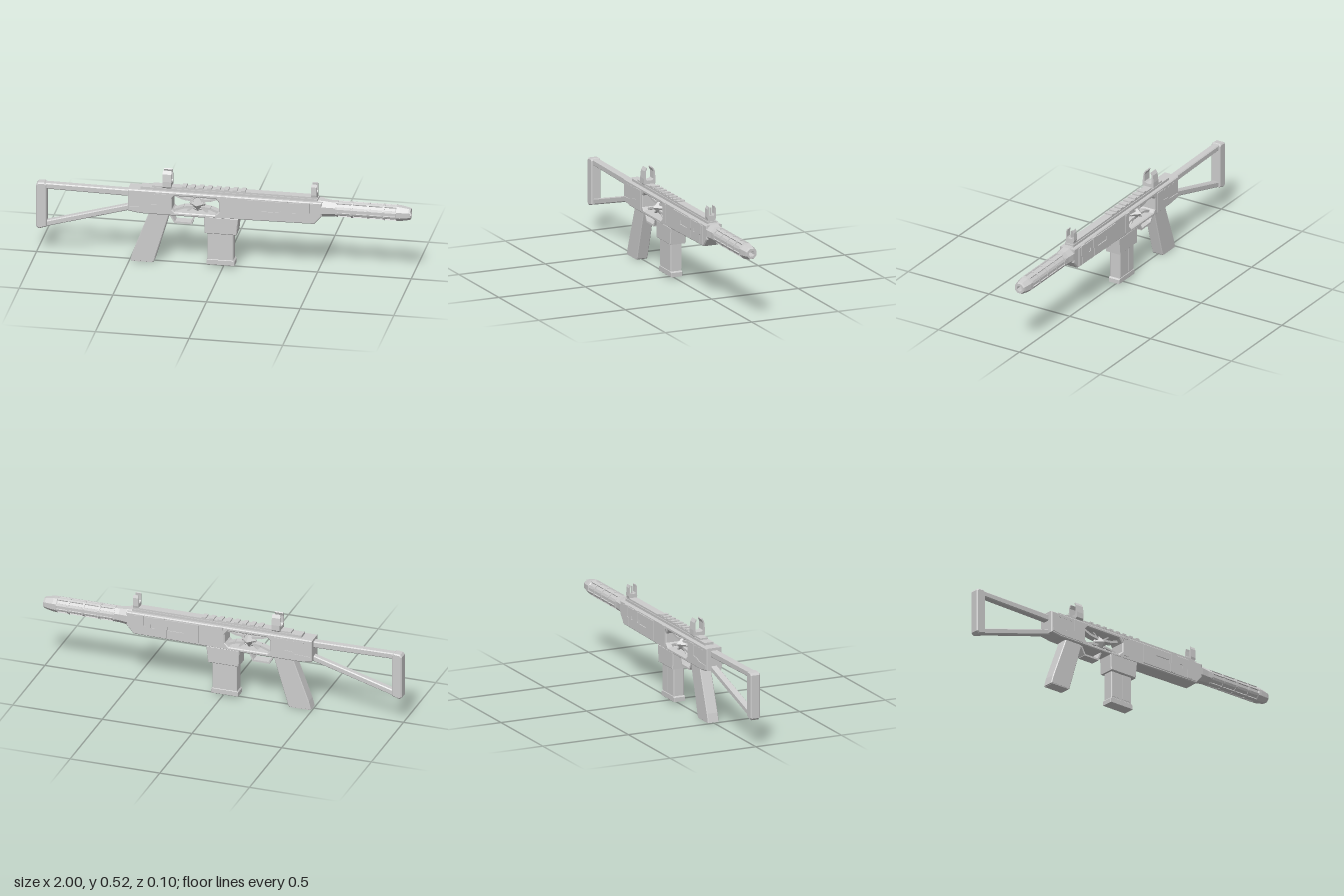
import * as THREE from 'three';

export function createModel() {
  const model = new THREE.Group();
  model.name = 'prop';
  const grey = new THREE.MeshStandardMaterial({ color: 0xcccccc, flatShading: true });
  grey.name = 'lightGrey';

  const add = (name, geo) => {
    const mesh = new THREE.Mesh(geo, grey);
    mesh.name = name;
    model.add(mesh);
    return mesh;
  };
  // Box given by its limits in x and y, its half width in z and its centre z
  const box = (name, x0, x1, y0, y1, hz, z = 0) => {
    const m = add(name, new THREE.BoxGeometry(x1 - x0, y1 - y0, hz * 2));
    m.position.set((x0 + x1) / 2, (y0 + y1) / 2, z);
    return m;
  };
  const toShape = (pts) => new THREE.Shape(pts.map(([x, y]) => new THREE.Vector2(x, y)));
  // Side profile extruded to half width hz with chamfered edges
  const slab = (name, pts, hz, bevel = 0.008, holes = []) => {
    const shape = toShape(pts);
    holes.forEach((h) => shape.holes.push(toShape(h)));
    const geo = new THREE.ExtrudeGeometry(shape, {
      depth: 2 * (hz - bevel), bevelEnabled: bevel > 0, bevelSize: bevel,
      bevelThickness: bevel, bevelOffset: -bevel, bevelSegments: 1,
    });
    geo.translate(0, 0, -(hz - bevel));
    return add(name, geo);
  };
  // Straight strut between two points of the side plane
  const bar = (name, x0, y0, x1, y1, thick, hz) => {
    const m = add(name, new THREE.BoxGeometry(Math.hypot(x1 - x0, y1 - y0), thick, hz * 2));
    m.position.set((x0 + x1) / 2, (y0 + y1) / 2, 0);
    m.rotation.z = Math.atan2(y1 - y0, x1 - x0);
    return m;
  };
  const rect = (x0, x1, y0, y1) => [[x0, y0], [x1, y0], [x1, y1], [x0, y1]];

  // Receiver and handguard with an open side window
  slab('receiver', [[-0.505, 0.29], [-0.44, 0.28], [-0.1, 0.28], [0.12, 0.285], [0.49, 0.29],
    [0.53, 0.335], [0.53, 0.412], [-0.505, 0.412]], 0.045, 0.005,
  [[[-0.255, 0.299], [-0.04, 0.299], [-0.018, 0.32], [-0.018, 0.37], [-0.035, 0.392],
    [-0.255, 0.392], [-0.27, 0.377], [-0.27, 0.314]]]);
  slab('magazineWell', [[-0.095, 0.193], [0.075, 0.193], [0.085, 0.288], [-0.1, 0.288]], 0.045, 0.004);

  // Raised side panels, mirrored
  for (const s of [1, -1]) {
    const plate = (name, pts, z, holes) => {
      slab(name, pts, 0.004, 0, holes).position.z = s * z;
    };
    plate('rearPanel', [[-0.495, 0.3], [-0.44, 0.29], [-0.29, 0.29], [-0.29, 0.4], [-0.35, 0.4],
      [-0.35, 0.337], [-0.4, 0.332], [-0.41, 0.322], [-0.495, 0.318]], 0.045);
    plate('windowPillar', [[-0.01, 0.3], [0.025, 0.3], [0.025, 0.4], [-0.02, 0.4], [-0.01, 0.38]], 0.045);
    plate('handguardPanel', rect(0.125, 0.485, 0.298, 0.402), 0.046,
      [rect(0.21, 0.3, 0.342, 0.365), rect(0.372, 0.392, 0.343, 0.363)]);
    for (const x of [0.305, 0.42]) {
      plate('handguardClip', [[x, 0.3], [x + 0.035, 0.3], [x + 0.035, 0.345], [x + 0.045, 0.352],
        [x + 0.045, 0.408], [x + 0.01, 0.408], [x + 0.01, 0.352], [x, 0.345]], 0.0485);
    }
    box('wellPin', -0.01, 0.02, 0.395, 0.41, 0.004, s * 0.048);
    for (const x of [-0.46, -0.42, -0.38]) box('rearNotch', x, x + 0.02, 0.39, 0.396, 0.002, s * 0.045);
    // Magazine faces beside the central groove
    box('magazineRib', -0.077, -0.03, 0.05, 0.2, 0.002, s * 0.03);
    box('magazineRib', -0.005, 0.05, 0.05, 0.2, 0.002, s * 0.03);
  }

  // Faceted core and its struts inside the window
  const core = add('windowCore', new THREE.OctahedronGeometry(0.044));
  core.position.set(-0.14, 0.343, 0);
  const ring = add('coreRing', new THREE.TorusGeometry(0.036, 0.007, 4, 8));
  ring.position.copy(core.position);
  for (const sx of [1, -1]) {
    for (const sy of [1, -1]) {
      const kneeX = -0.14 + sx * 0.07, kneeY = 0.345 + sy * 0.024;
      bar('innerStrut', -0.14 + sx * 0.02, 0.345 + sy * 0.018, kneeX, kneeY, 0.012, 0.018);
      bar('outerStrut', kneeX, kneeY, -0.14 + sx * 0.135, 0.345 + sy * 0.048, 0.013, 0.018);
      bar('crossStrut', -0.14 + sx * 0.02, 0.345 + sy * 0.02, -0.14 + sx * 0.06, 0.345 + sy * 0.054, 0.007, 0.014);
    }
  }

  // Skeleton stock
  slab('buttPlate', [[-1, 0.155], [-0.985, 0.143], [-0.942, 0.156], [-0.942, 0.395],
    [-0.955, 0.405], [-0.99, 0.402], [-1, 0.39]], 0.027, 0.006);
  slab('stockTopBar', [[-0.96, 0.37], [-0.49, 0.362], [-0.49, 0.398], [-0.96, 0.402]], 0.02, 0.005);
  slab('stockLowerStrut', [[-0.97, 0.148], [-0.49, 0.286], [-0.49, 0.318], [-0.97, 0.18]], 0.018, 0.005);

  // Grip and trigger guard
  slab('grip', [[-0.39, 0.295], [-0.285, 0.285], [-0.368, 0.006], [-0.374, 0], [-0.495, 0.002],
    [-0.482, 0.05]], 0.032, 0.004);
  box('gripCap', -0.485, -0.378, 0, 0.022, 0.031);
  bar('guardRear', -0.285, 0.282, -0.258, 0.236, 0.009, 0.026);
  box('guardBottom', -0.262, -0.165, 0.231, 0.241, 0.026);
  bar('guardFront', -0.17, 0.236, -0.148, 0.284, 0.009, 0.026);

  // Magazine
  slab('magazine', rect(-0.082, 0.055, 0.03, 0.22), 0.03, 0.003);
  slab('magazineBase', [[-0.088, 0.012], [0.062, 0.012], [0.062, 0.035], [0.056, 0.042],
    [-0.082, 0.042], [-0.088, 0.035]], 0.033, 0.002);

  // Top rail with teeth
  box('railBase', -0.44, 0.505, 0.405, 0.425, 0.026);
  box('rail', -0.38, 0.5, 0.42, 0.434, 0.022);
  for (let i = 0; i < 8; i++) {
    const x = -0.22 + i * 0.045;
    box('railTooth', x, x + 0.023, 0.43, 0.441, 0.023);
  }

  // Forked sights: half profile in z and y, mirrored and extruded along x
  const fork = (name, x, width, half) => {
    const pts = [...half, ...half.map(([z, y]) => [-z, y]).reverse()];
    const geo = new THREE.ExtrudeGeometry(toShape(pts), { depth: width, bevelEnabled: false });
    geo.rotateY(Math.PI / 2);
    add(name, geo).position.x = x;
  };
  fork('rearSight', -0.322, 0.046, [[0.023, 0.425], [0.034, 0.435], [0.034, 0.465], [0.029, 0.505],
    [0.018, 0.523], [0.014, 0.518], [0.022, 0.5], [0.022, 0.46], [0.014, 0.452]]);
  fork('frontSight', 0.47, 0.03, [[0.02, 0.425], [0.025, 0.445], [0.024, 0.49], [0.018, 0.505],
    [0.015, 0.503], [0.016, 0.49], [0.016, 0.462], [0.012, 0.455]]);
  box('sightPost', 0.48, 0.49, 0.44, 0.495, 0.003);

  // Eight-sided barrel shroud turned about the x axis, with an open muzzle
  const turned = (name, profile) => {
    const k = 1 / Math.cos(Math.PI / 8);
    const geo = new THREE.LatheGeometry(
      profile.map(([x, r]) => new THREE.Vector2(r * k, x)), 8, Math.PI / 8);
    geo.rotateZ(-Math.PI / 2);
    const m = add(name, geo);
    m.position.y = 0.371;
    return m;
  };
  turned('barrel', [[0.5, 0], [0.5, 0.045], [0.535, 0.045], [0.575, 0.04], [0.6, 0.04], [0.605, 0.037],
    [0.92, 0.036], [0.925, 0.04], [0.945, 0.039], [0.99, 0.031], [1, 0.027], [1, 0.015],
    [0.93, 0.015], [0.93, 0]]);
  for (const x of [0.6, 0.682, 0.768, 0.852]) {
    turned('barrelRing', [[x, 0.03], [x, 0.0405], [x + 0.012, 0.0405], [x + 0.012, 0.03]]);
  }
  // Ribs along the shroud corners
  for (let i = 0; i < 8; i++) {
    const a = (i + 0.5) * Math.PI / 4;
    const rib = add('barrelRib', new THREE.BoxGeometry(0.325, 0.01, 0.013));
    rib.position.set(0.763, 0.371 + Math.sin(a) * 0.0375, Math.cos(a) * 0.0375);
    rib.rotation.x = Math.PI / 2 - a;
  }

  return model;
}
